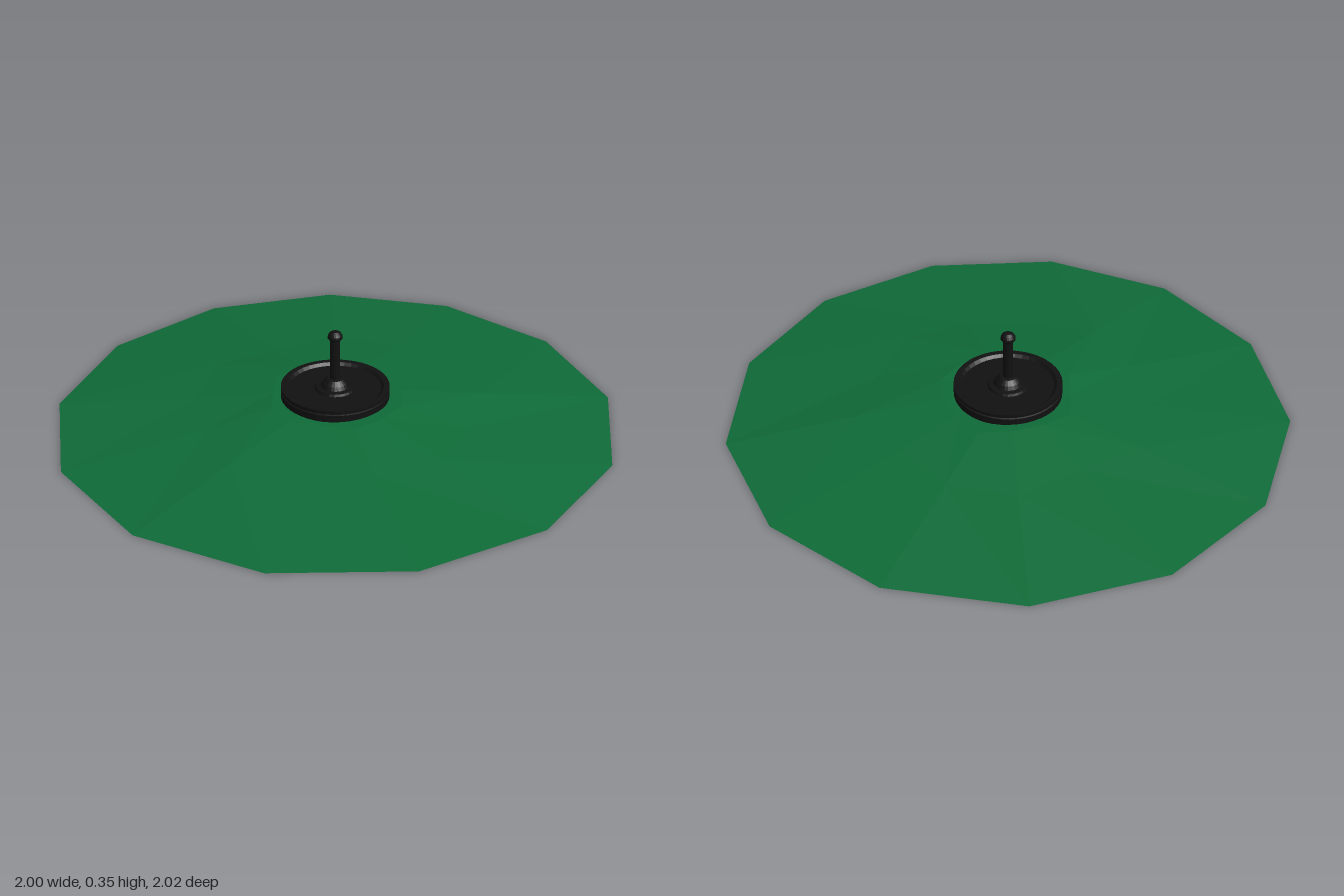
import * as THREE from 'three';

const SIDES = 13;
const RADIUS = 1.015;
const CENTRE_X = -0.015;

// Low mound: an open faceted sheet built from rings of 13 points
function moundGeometry() {
  const rings = [[0.24, 0.09, 0.02], [0.51, 0.054, 0.04], [RADIUS, 0, 0]];
  const positions = [0, 0.088, 0];
  const index = [];
  rings.forEach(([radius, height, wobble], k) => {
    for (let i = 0; i < SIDES; i++) {
      const a = (i / SIDES) * Math.PI * 2;
      const r = radius + wobble * Math.sin(i * 2.3 + k);
      const y = height + wobble * 0.1 * Math.cos(i * 1.7 + k);
      positions.push(r * Math.cos(a), y, r * Math.sin(a));
    }
  });
  const at = (ring, i) => 1 + ring * SIDES + (i % SIDES);
  for (let i = 0; i < SIDES; i++) {
    index.push(0, at(0, i + 1), at(0, i));
    for (let k = 0; k < rings.length - 1; k++) {
      index.push(at(k, i), at(k, i + 1), at(k + 1, i));
      index.push(at(k, i + 1), at(k + 1, i + 1), at(k + 1, i));
    }
  }
  const g = new THREE.BufferGeometry();
  g.setAttribute('position', new THREE.Float32BufferAttribute(positions, 3));
  g.setIndex(index);
  g.computeVertexNormals();
  return g;
}

function lathe(profile, segments) {
  return new THREE.LatheGeometry(profile.map(([x, y]) => new THREE.Vector2(x, y)), segments);
}

export function createModel() {
  const model = new THREE.Group();
  model.name = 'moundWithPost';
  const green = new THREE.MeshStandardMaterial({ color: 0x0f6b38, flatShading: true, side: THREE.DoubleSide });
  const black = new THREE.MeshStandardMaterial({ color: 0x111111, flatShading: true });

  const add = (name, geometry, material, y = 0) => {
    const mesh = new THREE.Mesh(geometry, material);
    mesh.name = name;
    mesh.position.set(CENTRE_X, y, 0);
    model.add(mesh);
  };

  add('mound', moundGeometry(), green);

  // Round base sunk into the mound, with a side groove and raised rim
  add('roundBase', lathe([
    [0, 0.037], [0.195, 0.037], [0.195, 0.114], [0.19, 0.116], [0.19, 0.12],
    [0.195, 0.122], [0.195, 0.132], [0.175, 0.132], [0.165, 0.122], [0, 0.122],
  ], 40), black);

  // Flared collar where the post meets the base
  add('collar', lathe([
    [0.075, 0.12], [0.07, 0.13], [0.052, 0.132], [0.045, 0.145], [0.03, 0.16], [0, 0.165],
  ], 24), black);

  add('post', new THREE.CylinderGeometry(0.018, 0.018, 0.19, 20), black, 0.23);

  // Rounded knob with a flat underside
  add('knob', lathe([
    [0, 0.315], [0.022, 0.315], [0.027, 0.322], [0.026, 0.331], [0.021, 0.34], [0.012, 0.346], [0, 0.348],
  ], 20), black);

  return model;
}
